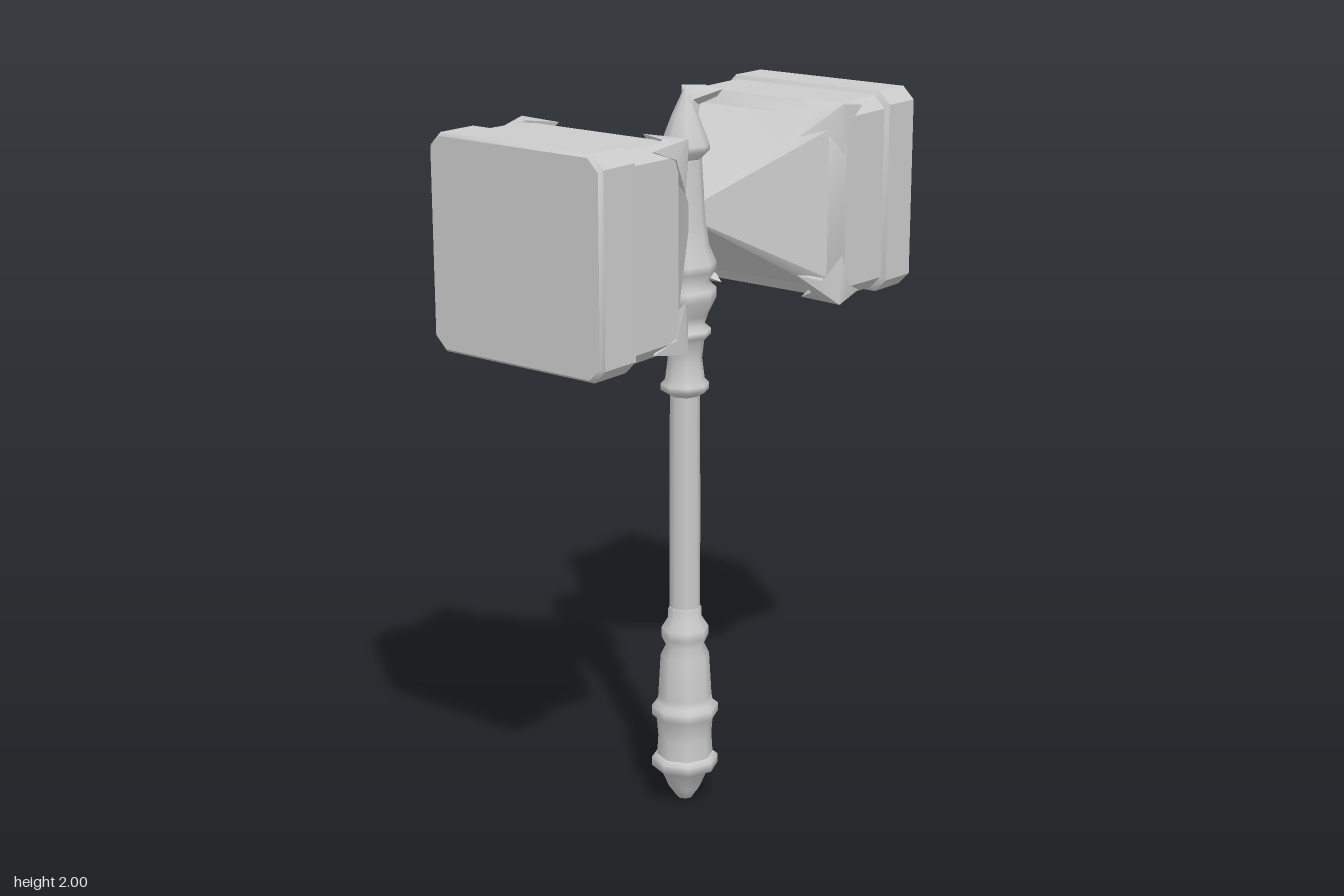
import * as THREE from 'three';
import { toCreasedNormals } from 'three/addons/utils/BufferGeometryUtils.js';

const material = new THREE.MeshStandardMaterial({ color: 0xcccccc });
const studMaterial = new THREE.MeshStandardMaterial({ color: 0xcccccc, side: THREE.DoubleSide });
const HEAD_Y = 1.67;

function part(name, geometry, mat = material) {
  const mesh = new THREE.Mesh(geometry, mat);
  mesh.name = name;
  return mesh;
}

// Turned eight-sided piece from [radius, height] pairs
function turned(name, profile) {
  const points = profile.map(([r, y]) => new THREE.Vector2(r, y));
  return part(name, new THREE.LatheGeometry(points, 8));
}

function indexed(positions, indices, crease) {
  const g = new THREE.BufferGeometry();
  g.setAttribute('position', new THREE.Float32BufferAttribute(positions, 3));
  g.setIndex(indices);
  return toCreasedNormals(g, crease);
}

// Loft of corner-cut squares along x; each section is [x, half size, corner cut]
function squareLoft(sections) {
  const pos = [], idx = [], n = 8;
  for (const [x, h, c] of sections) {
    const k = h - c;
    for (const [y, z] of [[h, -k], [h, k], [k, h], [-k, h], [-h, k], [-h, -k], [-k, -h], [k, -h]]) pos.push(x, y, z);
  }
  for (let s = 0; s < sections.length - 1; s++) {
    for (let i = 0; i < n; i++) {
      const a = s * n + i, b = s * n + (i + 1) % n;
      idx.push(a, a + n, b, b, a + n, b + n);
    }
  }
  // End caps
  const last = (sections.length - 1) * n;
  for (let i = 1; i < n - 1; i++) {
    idx.push(0, i, i + 1);
    idx.push(last, last + i + 1, last + i);
  }
  // Turn every face outward if the loop order runs the other way
  const [p, q, r] = [idx[0], idx[1], idx[2]].map((i) => new THREE.Vector3().fromArray(pos, i * 3));
  const normal = q.clone().sub(p).cross(r.clone().sub(p));
  if (normal.y < 0) for (let i = 0; i < idx.length; i += 3) [idx[i + 1], idx[i + 2]] = [idx[i + 2], idx[i + 1]];
  return indexed(pos, idx, 0.6);
}

// Four-pointed star folded over a corner edge
function starGeometry() {
  const rim = [
    [0.44, 0.25, 0.25], [0.37, 0.267, 0.222], [0.335, 0.267, 0.135], [0.29, 0.238, 0.2],
    [0.245, 0.185, 0.185], [0.29, 0.2, 0.238], [0.335, 0.135, 0.267], [0.37, 0.222, 0.267],
  ];
  const pos = [...rim.flat(), 0.325, 0.268, 0.268, 0.345, 0.2, 0.2];
  const idx = [];
  for (let i = 0; i < 8; i++) {
    const j = (i + 1) % 8;
    idx.push(8, i, j, 9, j, i);
  }
  return indexed(pos, idx, 0.7);
}

export function createModel() {
  const model = new THREE.Group();
  model.name = 'doubleHammer';

  // Handle, from the foot upward
  model.add(turned('pommel', [
    [0, 0.003], [0.022, 0.012], [0.045, 0.045], [0.068, 0.1], [0.092, 0.11], [0.092, 0.135], [0.078, 0.145],
  ]));
  model.add(turned('grip', [
    [0.078, 0.14], [0.074, 0.2], [0.078, 0.25], [0.092, 0.265], [0.092, 0.29], [0.077, 0.3], [0.074, 0.32],
    [0.067, 0.44], [0.053, 0.47], [0.065, 0.495], [0.065, 0.52], [0.046, 0.55], [0.046, 0.575], [0.04, 0.585],
  ]));
  model.add(turned('shaft', [[0.042, 0.57], [0.042, 0.9], [0.04, 1.2]]));
  model.add(turned('neck', [
    [0.04, 1.18], [0.065, 1.195], [0.065, 1.212], [0.053, 1.225], [0.046, 1.28], [0.052, 1.33],
    [0.07, 1.345], [0.07, 1.36], [0.053, 1.375], [0.062, 1.4], [0.084, 1.445], [0.084, 1.47],
    [0.064, 1.49], [0.083, 1.52], [0.083, 1.54], [0.064, 1.585], [0.055, 1.65], [0.05, 1.72],
    [0.043, 1.83],
  ]));
  model.add(turned('finial', [[0.04, 1.81], [0.066, 1.835], [0.064, 1.85], [0.035, 1.925], [0, 2]]));

  // Two opposed heads, each with four corner studs
  const bodyGeo = squareLoft([
    [0.02, 0.03, 0.004], [0.32, 0.228, 0.03], [0.355, 0.261, 0.033], [0.535, 0.263, 0.033],
  ]);
  const bandGeo = squareLoft([
    [0.52, 0.255, 0.03], [0.535, 0.274, 0.034], [0.65, 0.274, 0.034], [0.66, 0.266, 0.032],
  ]);
  const starGeo = starGeometry();
  for (const [name, turn] of [['leftHead', 0], ['rightHead', Math.PI]]) {
    const head = new THREE.Group();
    head.name = name;
    head.position.y = HEAD_Y;
    head.rotation.y = turn;
    head.add(part('headBody', bodyGeo), part('strikingFace', bandGeo));
    for (let i = 0; i < 4; i++) {
      const stud = part('cornerStud', starGeo, studMaterial);
      stud.rotation.x = i * Math.PI / 2;
      head.add(stud);
    }
    model.add(head);
  }
  return model;
}
